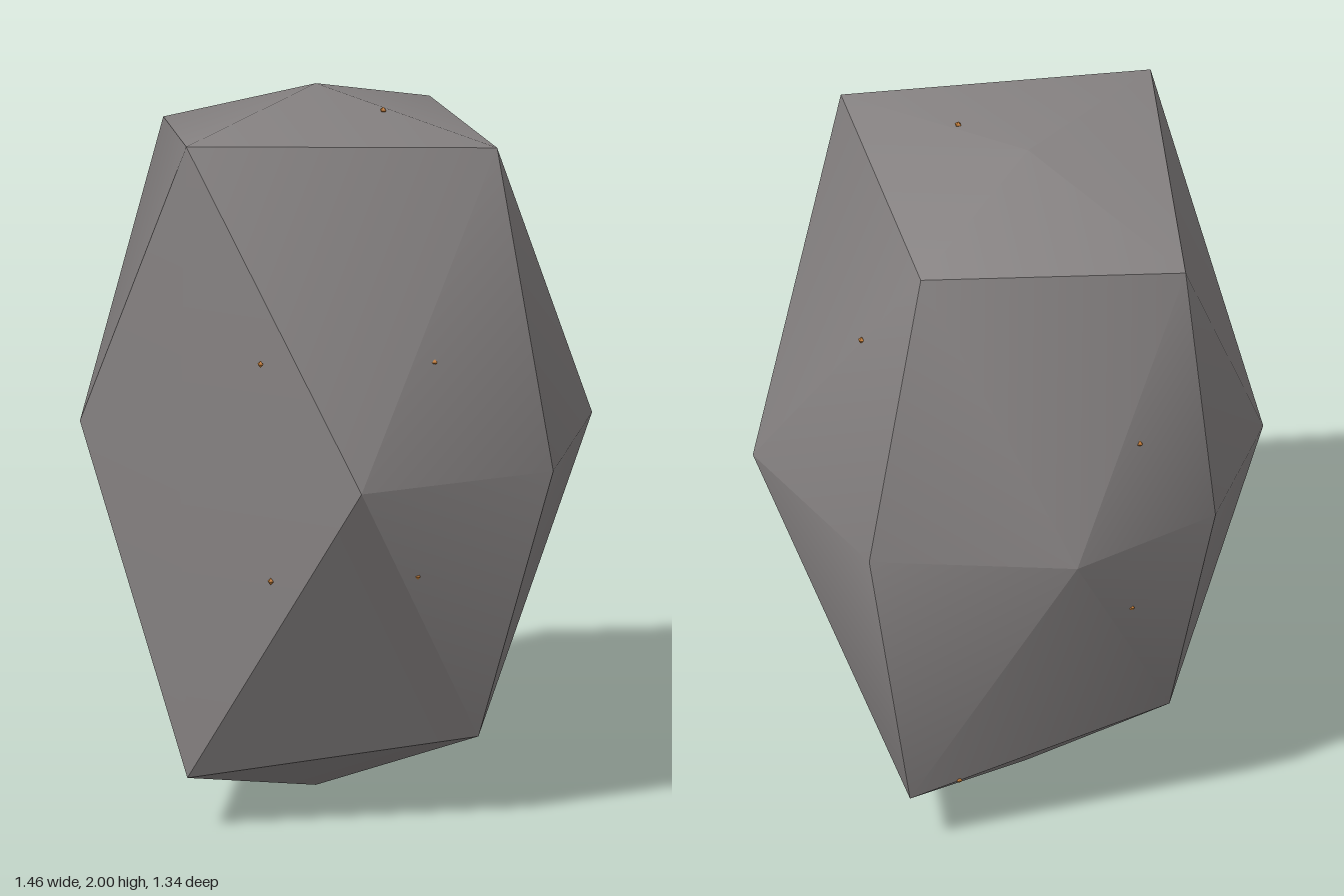
import * as THREE from 'three';
import { toCreasedNormals } from 'three/addons/utils/BufferGeometryUtils.js';

// Corner positions of the boulder, keyed by the direction (x y z signs) they lie in.
const CORNERS = {
  '0,1,0': [-0.1, 2, 0.07], '0,-1,0': [-0.1, 0, 0.07],
  '1,0,0': [0.725, 1.05, 0.07], '-1,0,0': [-0.73, 1.05, 0.07],
  '0,0,1': [-0.1, 1.05, 0.67], '0,0,-1': [-0.1, 1.05, -0.67],
  '1,1,0': [0.53, 1.935, 0.07], '-1,1,0': [-0.63, 1.805, 0.07],
  '1,-1,0': [0.465, 0.245, 0.07], '-1,-1,0': [-0.575, 0.37, 0.07],
  '0,1,1': [-0.1, 1.955, 0.64], '0,1,-1': [-0.1, 1.845, -0.43],
  '0,-1,1': [-0.1, 0.155, 0.635], '0,-1,-1': [-0.1, 0.17, -0.48],
  '1,0,1': [0.45, 1.05, 0.565], '-1,0,1': [-0.58, 1.05, 0.5],
  '1,0,-1': [0.465, 1.05, -0.43], '-1,0,-1': [-0.58, 1.05, -0.365],
};

// Tiny ore specks on the surface
const FLECKS = [
  [0.15, 1.38, 0.63], [0.17, 0.76, 0.61], [0.51, 1.38, 0.32], [0.475, 0.77, 0.35],
  [0.15, 1.975, 0.09], [0.1, 1.57, -0.43], [-0.62, 1.35, -0.13],
  [-0.6, 0.81, -0.14], [-0.19, 0.21, -0.375],
];

export function createModel() {
  const model = new THREE.Group();
  const stone = new THREE.MeshStandardMaterial({ color: 0x868282 });
  stone.name = 'stone grey';
  const ore = new THREE.MeshStandardMaterial({ color: 0xc27a30 });
  ore.name = 'ore orange';

  // Boulder: once-divided octahedron with each corner moved to its place
  const shape = new THREE.OctahedronGeometry(1, 1);
  const pos = shape.attributes.position;
  const sign = (v) => (Math.abs(v) < 0.1 ? 0 : Math.sign(v));
  for (let i = 0; i < pos.count; i++) {
    const key = [sign(pos.getX(i)), sign(pos.getY(i)), sign(pos.getZ(i))].join(',');
    pos.setXYZ(i, ...CORNERS[key]);
  }
  const boulder = new THREE.Mesh(toCreasedNormals(shape, THREE.MathUtils.degToRad(30)), stone);
  boulder.name = 'boulder';
  model.add(boulder);

  // Ore flecks
  const flecks = new THREE.Group();
  flecks.name = 'oreFlecks';
  const fleckShape = new THREE.OctahedronGeometry(0.01);
  FLECKS.forEach((p, i) => {
    const fleck = new THREE.Mesh(fleckShape, ore);
    fleck.name = `oreFleck${i + 1}`;
    fleck.position.set(...p);
    flecks.add(fleck);
  });
  model.add(flecks);
  return model;
}
